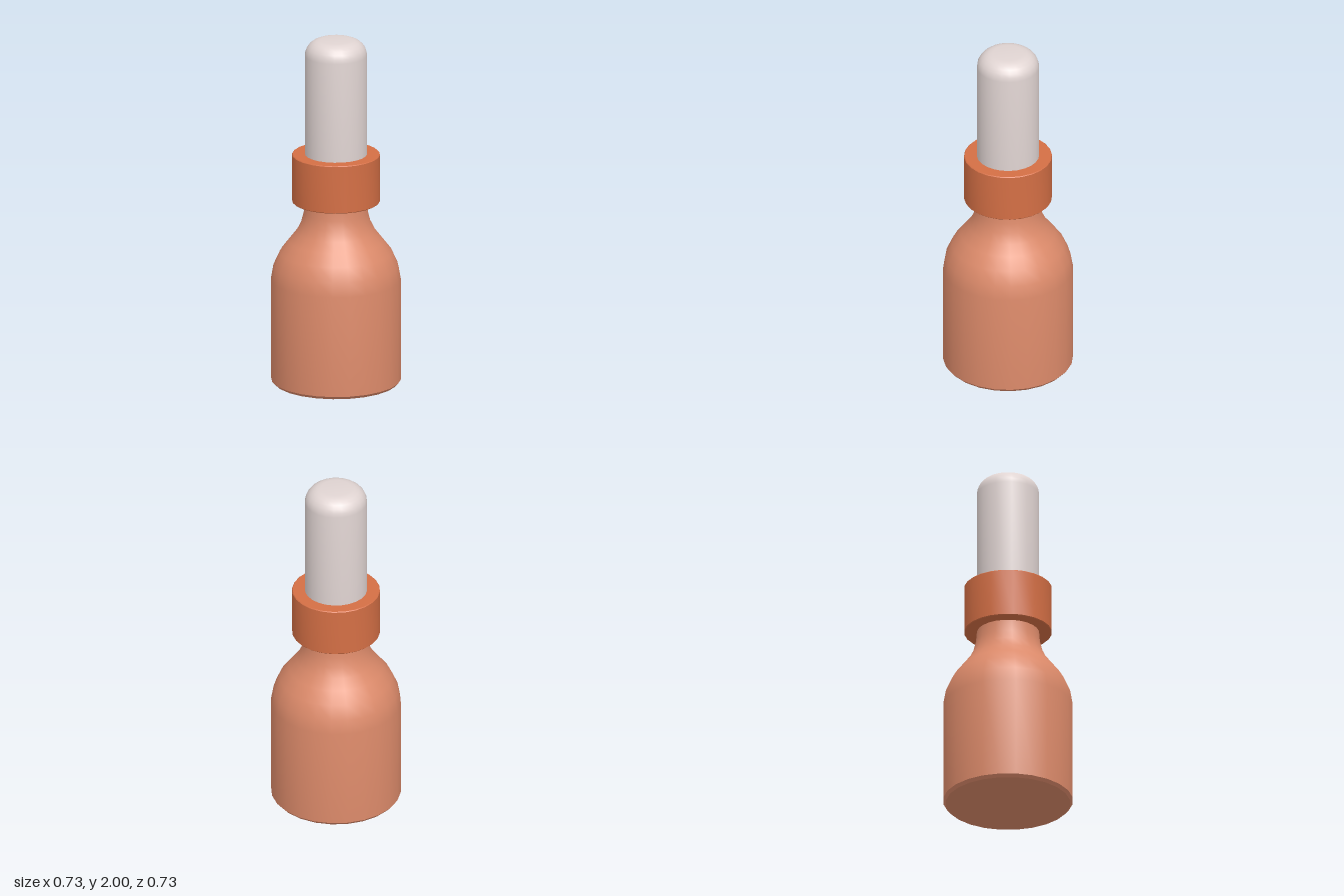
import * as THREE from 'three';
import { toCreasedNormals } from 'three/addons/utils/BufferGeometryUtils.js';

const SIDES = 24;

const makeMaterial = (name, color) => {
  const material = new THREE.MeshStandardMaterial({ color });
  material.name = name;
  return material;
};

// Turned part: [radius, height] profile from bottom to top, sharp edges kept
function turned(name, profile, material) {
  const points = profile.map(([r, y]) => new THREE.Vector2(r, y));
  const geometry = toCreasedNormals(new THREE.LatheGeometry(points, SIDES), 0.6);
  const mesh = new THREE.Mesh(geometry, material);
  mesh.name = name;
  return mesh;
}

export function createModel() {
  const terracotta = makeMaterial('terracotta', 0xdc8a6a);
  const burntOrange = makeMaterial('burnt orange', 0xd46f45);
  const paleGrey = makeMaterial('pale grey', 0xe0d4d2);

  const model = new THREE.Group();
  model.name = 'dropperBottle';

  // Bottle with bevelled base, rounded shoulder and narrow neck
  model.add(turned('bottle', [
    [0, 0], [0.35, 0], [0.365, 0.017], [0.365, 0.6], [0.351, 0.68],
    [0.315, 0.76], [0.265, 0.825], [0.222, 0.88], [0.195, 0.935],
    [0.181, 0.99], [0.175, 1.06], [0.175, 1.1], [0, 1.1],
  ], terracotta));

  // Screw collar with slightly eased rims
  model.add(turned('collar', [
    [0, 1.055], [0.243, 1.055], [0.247, 1.059],
    [0.247, 1.329], [0.243, 1.333], [0, 1.333],
  ], burntOrange));

  // Squeeze bulb with rounded top
  const bulb = [[0, 1.32], [0.175, 1.32]];
  const radius = 0.175, round = 0.09, steps = 6;
  for (let i = 0; i <= steps; i++) {
    const a = (i / steps) * Math.PI / 2;
    bulb.push([radius - round + round * Math.cos(a), 2 - round + round * Math.sin(a)]);
  }
  bulb.push([0, 2]);
  model.add(turned('bulb', bulb, paleGrey));

  return model;
}
